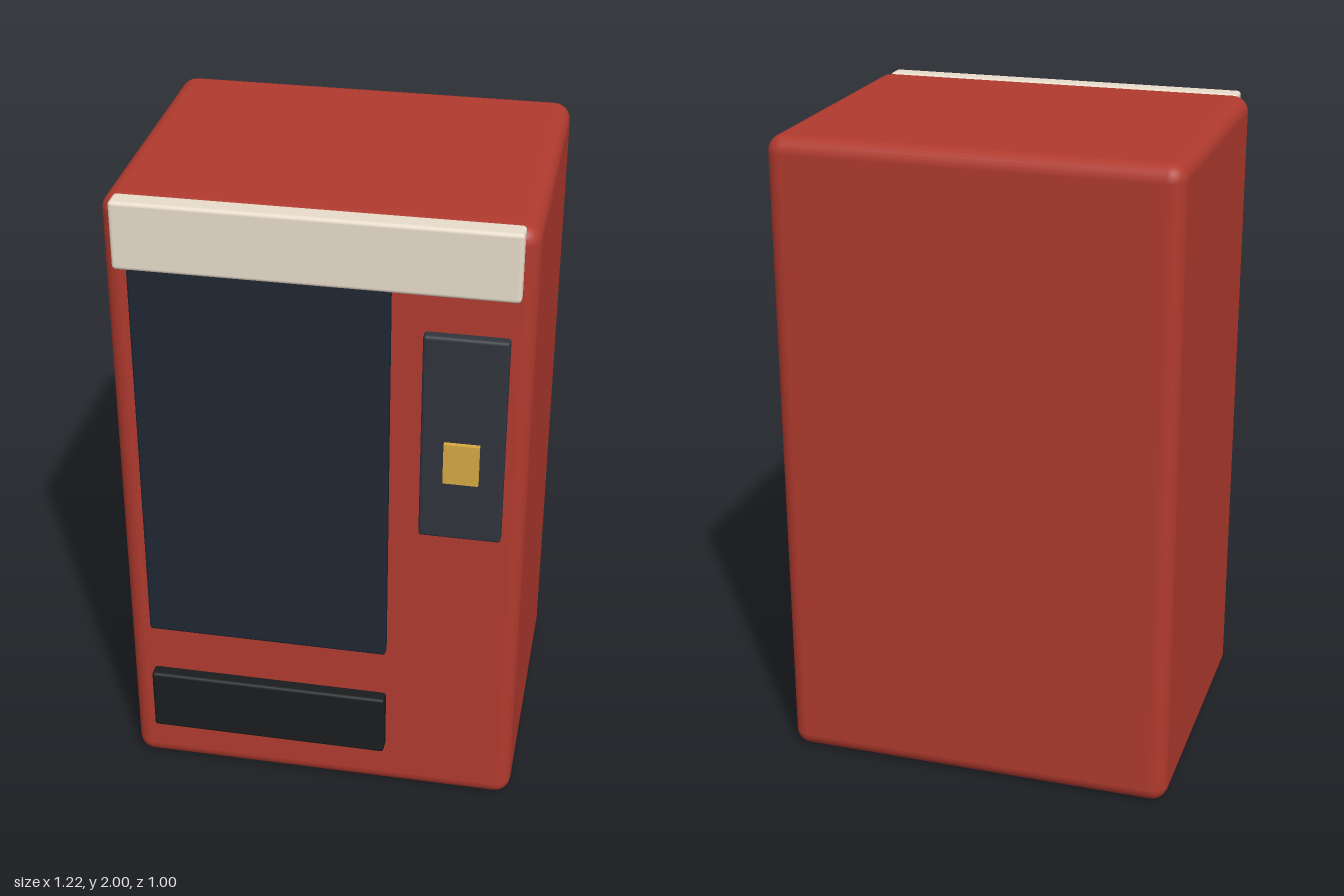
import * as THREE from 'three';
import { RoundedBoxGeometry } from 'three/addons/geometries/RoundedBoxGeometry.js';

// Box part given by its extents on each axis; radius 0 keeps sharp edges
function addBox(group, name, color, [x0, x1], [y0, y1], [z0, z1], radius = 0, segments = 2) {
  const w = x1 - x0, h = y1 - y0, d = z1 - z0;
  const geometry = radius > 0
    ? new RoundedBoxGeometry(w, h, d, segments, radius)
    : new THREE.BoxGeometry(w, h, d);
  const mesh = new THREE.Mesh(geometry, new THREE.MeshStandardMaterial({ color }));
  mesh.name = name;
  mesh.position.set((x0 + x1) / 2, (y0 + y1) / 2, (z0 + z1) / 2);
  group.add(mesh);
}

export function createModel() {
  const group = new THREE.Group();
  group.name = 'vendingMachine';

  // Cabinet
  addBox(group, 'cabinet', 0xb03a2e, [-0.611, 0.611], [0.003, 1.998], [-0.5, 0.456], 0.05, 3);

  // Header panel across the top of the front
  addBox(group, 'headerPanel', 0xe8dccb, [-0.574, 0.57], [1.793, 2], [0.421, 0.489], 0.012);

  // Display window and dispensing tray, sharing the same width
  addBox(group, 'displayWindow', 0x1f2733, [-0.535, 0.212], [0.543, 1.82], [0.425, 0.485], 0.01);
  addBox(group, 'dispensingTray', 0x1a1c1e, [-0.535, 0.212], [0.165, 0.375], [0.405, 0.497], 0.01);

  // Control panel with its coin plate
  addBox(group, 'controlPanel', 0x30353c, [0.304, 0.546], [1.005, 1.67], [0.425, 0.485], 0.01);
  addBox(group, 'coinPlate', 0xd4a843, [0.373, 0.476], [1.205, 1.335], [0.465, 0.5]);

  return group;
}
